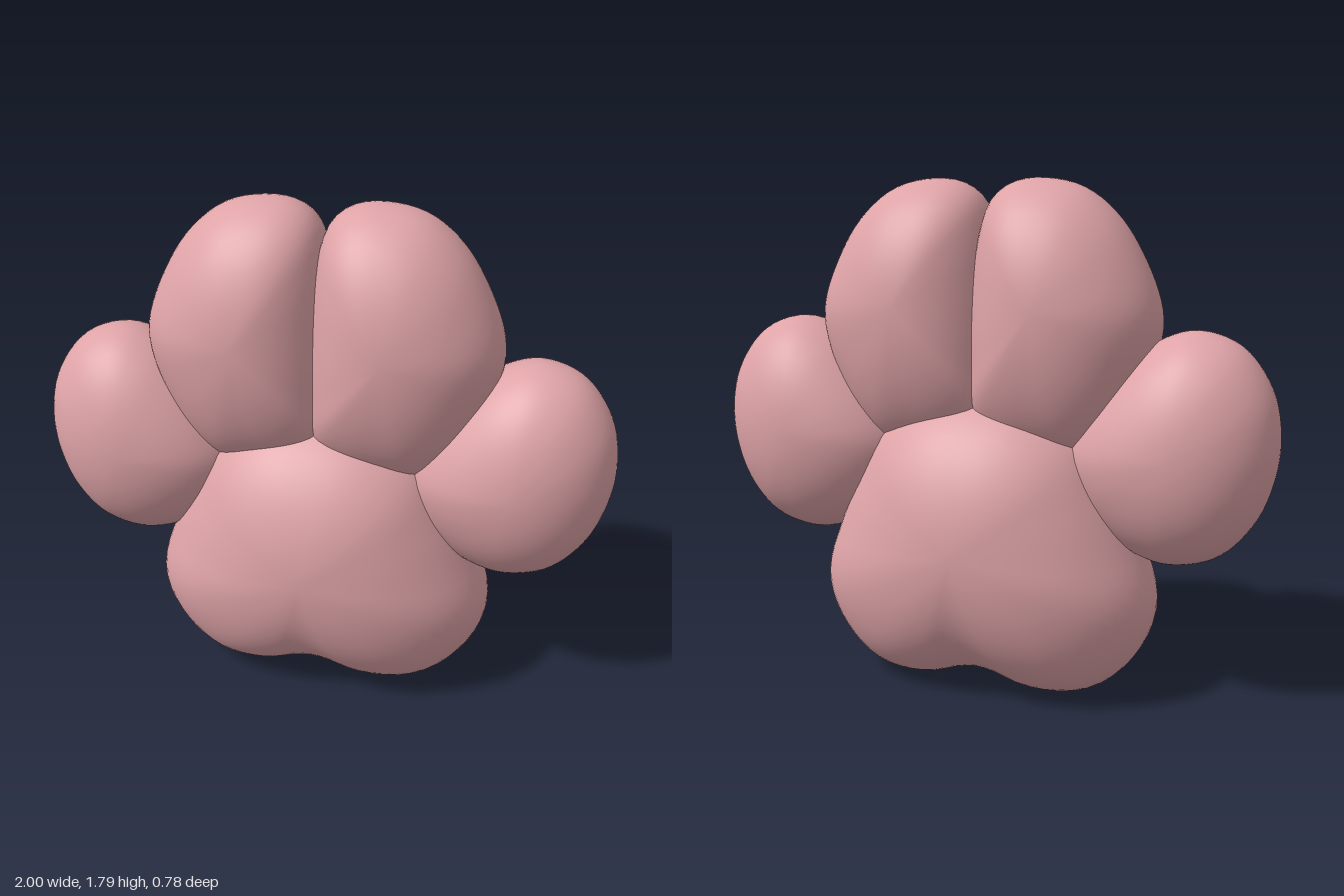
import * as THREE from 'three';

const pink = new THREE.MeshStandardMaterial({ color: 0xdea3a7 });
pink.name = 'dustyPink';

// Cushion: a closed outline (counter-clockwise) inflated around a centre to a half-depth
function cushion(name, outline, [cx, cy], depth) {
  const curve = new THREE.CatmullRomCurve3(
    outline.map(([x, y]) => new THREE.Vector3(x, y, 0)), true, 'centripetal');
  const around = 80, layers = 40;
  const rim = curve.getSpacedPoints(around).slice(0, around);
  const positions = [cx, cy, -depth], index = [];
  for (let j = 1; j < layers; j++) {
    const lat = Math.PI * (j / layers - 0.5);
    const s = Math.cos(lat), z = depth * Math.sin(lat);
    for (const p of rim) positions.push(cx + (p.x - cx) * s, cy + (p.y - cy) * s, z);
  }
  positions.push(cx, cy, depth);
  const last = positions.length / 3 - 1;
  const at = (j, i) => 1 + (j - 1) * around + (i % around);
  for (let i = 0; i < around; i++) {
    index.push(0, at(1, i + 1), at(1, i));
    for (let j = 1; j < layers - 1; j++) {
      index.push(at(j, i), at(j, i + 1), at(j + 1, i + 1));
      index.push(at(j, i), at(j + 1, i + 1), at(j + 1, i));
    }
    index.push(at(layers - 1, i), at(layers - 1, i + 1), last);
  }
  const geometry = new THREE.BufferGeometry();
  geometry.setAttribute('position', new THREE.Float32BufferAttribute(positions, 3));
  geometry.setIndex(index);
  geometry.computeVertexNormals();
  const mesh = new THREE.Mesh(geometry, pink);
  mesh.name = name;
  return mesh;
}

// Mirrored outline, reversed so it stays counter-clockwise
const mirror = (pts) => pts.map(([x, y]) => [-x, y]).reverse();

export function createModel() {
  const group = new THREE.Group();
  group.name = 'paw';

  // Main pad: rounded triangle with a shallow notch below
  const padSide = [
    [0.09, 0.045], [0.18, 0.015], [0.29, 0.008], [0.39, 0.028], [0.48, 0.085], [0.57, 0.2],
    [0.612, 0.32], [0.608, 0.42], [0.56, 0.56], [0.475, 0.76], [0.365, 0.945], [0.2, 1.05],
  ];
  const pad = [[0, 0.06], ...padSide, [0, 1.08], ...mirror(padSide)];
  group.add(cushion('mainPad', pad, [0, 0.57], 0.388));

  // Inner toes: flat towards the middle, bulging outwards
  const innerToe = [
    [0.19, 1.795], [0.09, 1.78], [0.025, 1.73], [-0.015, 1.62], [-0.045, 1.4], [-0.055, 1.15],
    [-0.04, 0.96], [0.06, 0.88], [0.2, 0.85], [0.35, 0.86], [0.46, 0.95], [0.55, 1.11],
    [0.6, 1.27], [0.6, 1.37], [0.545, 1.52], [0.45, 1.67], [0.33, 1.765],
  ];
  // Outer toes: slanted eggs
  const outerToe = [
    [0.72, 1.31], [0.6, 1.275], [0.46, 1.165], [0.33, 1.0], [0.285, 0.87], [0.33, 0.73],
    [0.45, 0.6], [0.56, 0.538], [0.67, 0.517], [0.82, 0.56], [0.93, 0.68], [0.985, 0.82],
    [1.0, 0.97], [0.965, 1.13], [0.86, 1.265],
  ];
  group.add(cushion('leftInnerToe', innerToe, [0.24, 1.37], 0.293));
  group.add(cushion('rightInnerToe', mirror(innerToe), [-0.24, 1.37], 0.293));
  group.add(cushion('leftOuterToe', outerToe, [0.67, 0.92], 0.27));
  group.add(cushion('rightOuterToe', mirror(outerToe), [-0.67, 0.92], 0.27));

  return group;
}
